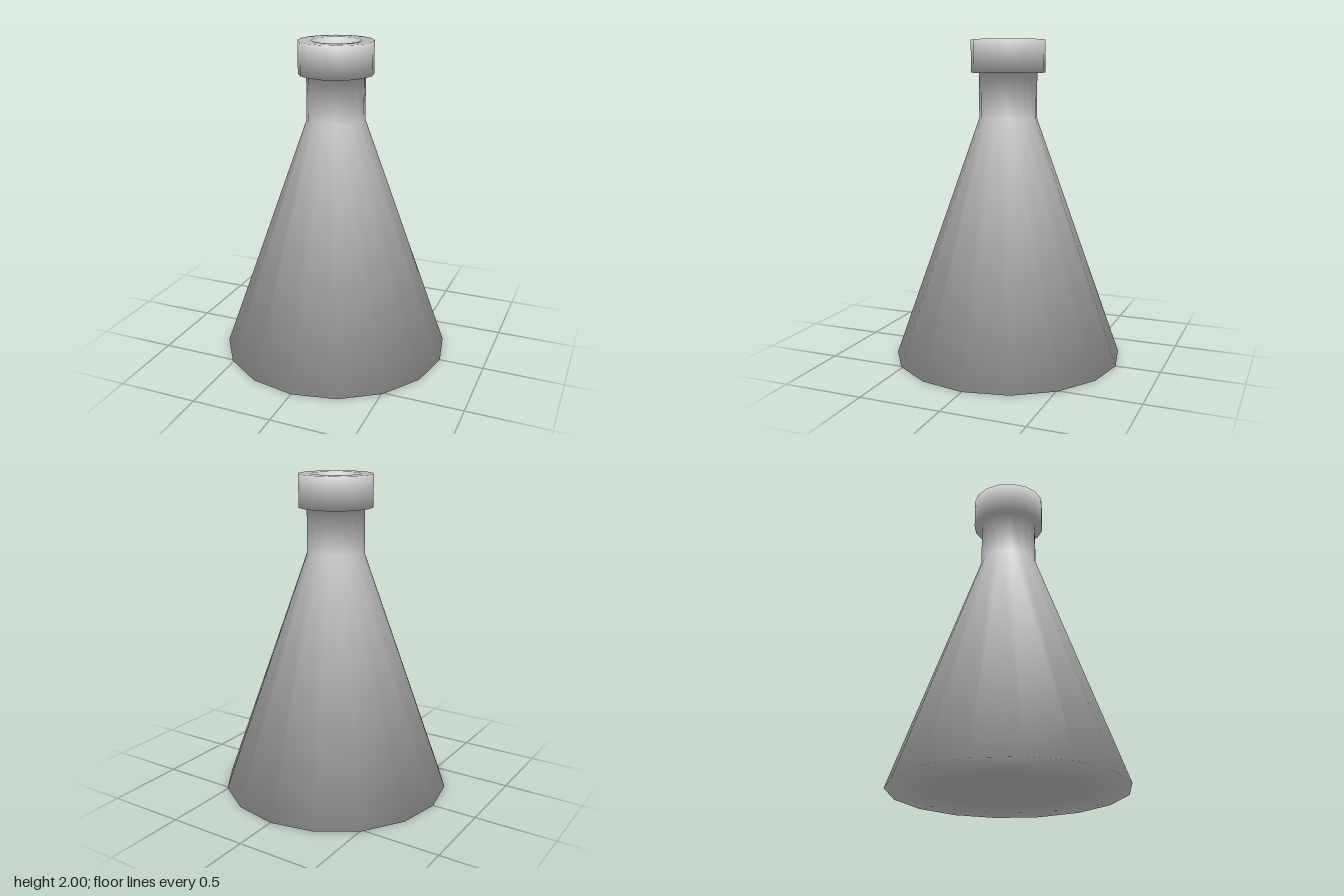
import * as THREE from 'three';

const SIDES = 16;

// Revolves a profile and gives every ring the plain average of its two neighbouring slopes,
// so the whole wall shades as one soft surface.
function softLathe(profile) {
  const points = profile.map(([r, y]) => new THREE.Vector2(r, y));
  const geometry = new THREE.LatheGeometry(points, SIDES);
  const slopes = points.slice(1).map((p, i) => {
    const d = p.clone().sub(points[i]).normalize();
    return new THREE.Vector2(d.y, -d.x);
  });
  const ringNormals = points.map((_, i) => {
    const n = new THREE.Vector2();
    if (i > 0) n.add(slopes[i - 1]);
    if (i < slopes.length) n.add(slopes[i]);
    return n.normalize();
  });
  const normal = geometry.attributes.normal;
  for (let k = 0; k < normal.count; k++) {
    const angle = (Math.floor(k / points.length) / SIDES) * Math.PI * 2;
    const n = ringNormals[k % points.length];
    normal.setXYZ(k, n.x * Math.sin(angle), n.y, n.x * Math.cos(angle));
  }
  return geometry;
}

export function createModel() {
  const glass = new THREE.MeshStandardMaterial({ color: 0xcccccc });
  glass.name = 'grey glass';
  const red = new THREE.MeshStandardMaterial({ color: 0xc4220e });
  red.name = 'red liquid';

  const model = new THREE.Group();
  model.name = 'conicalFlask';

  // Glass: base, cone, neck and lip outside, then back down the inner wall
  const flask = new THREE.Mesh(softLathe([
    [0, 0], [0.42, 0], [0.72, 0],
    [0.18, 1.52], [0.18, 1.8],
    [0.23, 1.8], [0.23, 2],
    [0.15, 2], [0.15, 1.5],
    [0.68, 0.03], [0, 0.03],
  ]), glass);
  flask.name = 'flaskBody';
  model.add(flask);

  // Liquid filling the lower part of the cone
  const liquid = new THREE.Mesh(new THREE.CylinderGeometry(0.43, 0.665, 0.66, SIDES), red);
  liquid.name = 'liquid';
  liquid.position.y = 0.37;
  model.add(liquid);

  return model;
}
